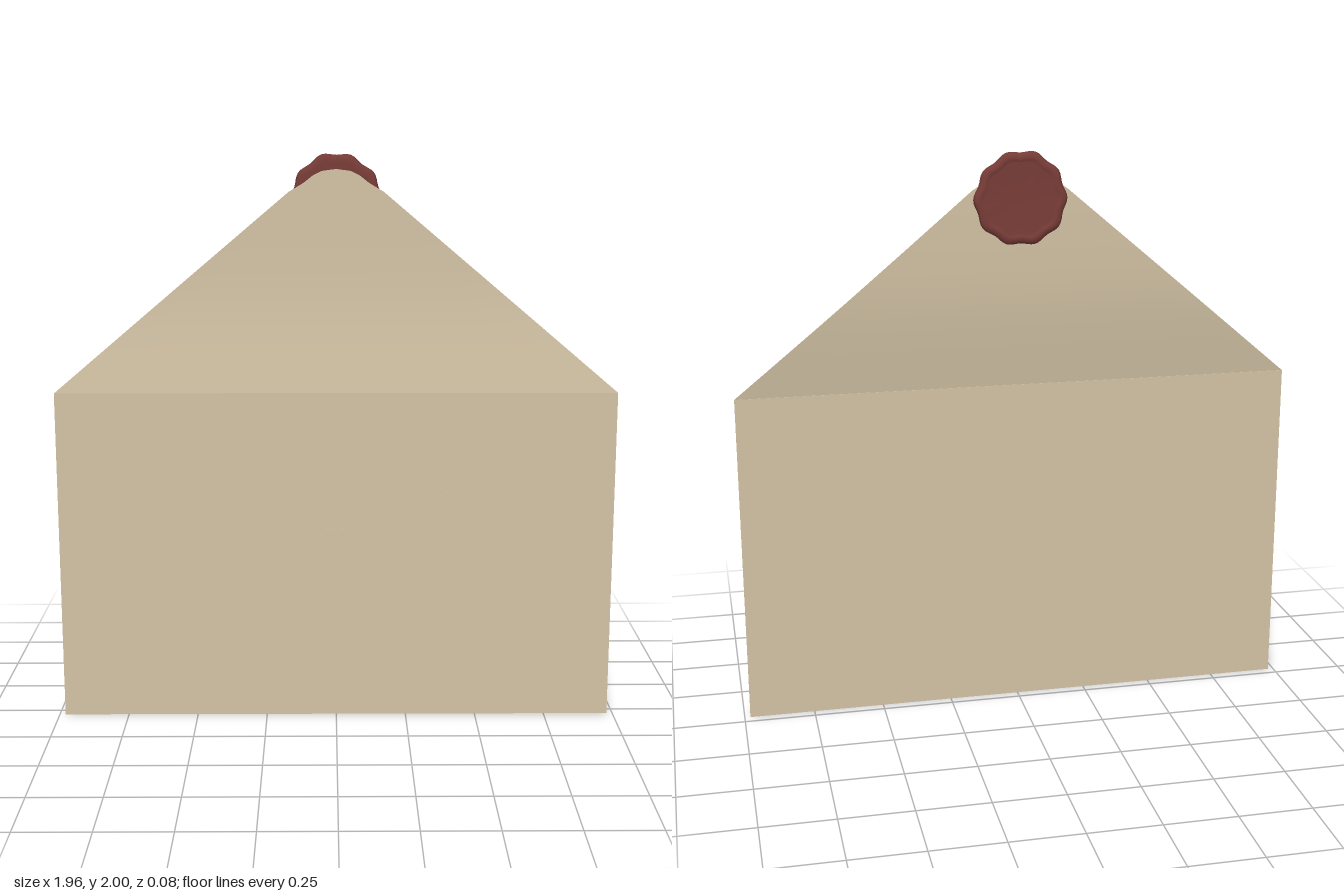
import * as THREE from 'three';

const W = 0.98, H = 1.18;

// Thin sheet of paper cut from an outline, its back at z
function sheet(name, points, z, depth, material) {
  const shape = new THREE.Shape(points.map(([x, y]) => new THREE.Vector2(x, y)));
  const geo = new THREE.ExtrudeGeometry(shape, { depth, bevelEnabled: false });
  const mesh = new THREE.Mesh(geo, material);
  mesh.name = name;
  mesh.position.z = z;
  return mesh;
}

// Open flap: rows of [y, half width, z], bending back from the fold
function flapGeometry() {
  const rows = [];
  const edge = (y) => W * (1 - (y - H) / 0.827);
  for (const [y, z] of [[H, 0.035], [1.27, 0.023], [1.36, 0.012], [1.44, 0.003], [1.52, -0.003],
    [1.6, -0.006], [1.7, -0.008], [1.8, -0.008], [1.87, -0.008]]) rows.push([y, edge(y), z]);
  // rounded tip
  for (const [y, w] of [[1.9, 0.112], [1.925, 0.08], [1.94, 0.05], [1.947, 0]]) rows.push([y, w, -0.008]);
  const cols = 8, pos = [], index = [];
  rows.forEach(([y, w, z], r) => {
    for (let c = 0; c <= cols; c++) {
      pos.push(w * (2 * c / cols - 1), y, z);
      if (r && c) {
        const a = (r - 1) * (cols + 1) + c - 1, b = a + cols + 1;
        index.push(a, a + 1, b + 1, a, b + 1, b);
      }
    }
  });
  const geo = new THREE.BufferGeometry();
  geo.setAttribute('position', new THREE.Float32BufferAttribute(pos, 3));
  geo.setIndex(index);
  geo.computeVertexNormals();
  return geo;
}

// Wax seal: a turned disc with a raised rim and a wavy outline
function sealGeometry() {
  const profile = [[0, -0.010], [0.13, -0.010], [0.15, -0.008], [0.157, 0], [0.15, 0.008],
    [0.138, 0.011], [0.128, 0.010], [0.122, 0.006], [0, 0.006]];
  const geo = new THREE.LatheGeometry(profile.map(([x, y]) => new THREE.Vector2(x, y)), 80);
  const p = geo.attributes.position;
  for (let i = 0; i < p.count; i++) {
    const x = p.getX(i), z = p.getZ(i), a = Math.atan2(z, x), r = Math.hypot(x, z);
    const s = 1 + (0.03 * Math.cos(10 * a) + 0.012 * Math.cos(3 * a + 1)) * Math.min(1, r / 0.12);
    p.setX(i, x * s);
    p.setZ(i, z * s);
  }
  geo.computeVertexNormals();
  return geo;
}

export function createModel() {
  const paper = new THREE.MeshStandardMaterial({ color: 0xd3c3a5, side: THREE.DoubleSide });
  paper.name = 'paper';
  const wax = new THREE.MeshStandardMaterial({ color: 0x793d38 });
  wax.name = 'sealingWax';

  const group = new THREE.Group();
  group.name = 'envelope';

  // Pocket: back panel, two side folds and the bottom fold over them
  group.add(sheet('backPanel', [[-W, 0], [W, 0], [W, H], [-W, H]], 0.033, 0.002, paper));
  for (const s of [-1, 1]) {
    group.add(sheet(s < 0 ? 'rightSideFold' : 'leftSideFold',
      [[s * W, 0], [s * W, H], [s * 0.06, 0.63], [s * 0.01, 0.58], [s * 0.06, 0.53]], 0.0355, 0.0015, paper));
  }
  group.add(sheet('bottomFold',
    [[-W, 0], [W, 0], [0.06, 0.675], [0.03, 0.692], [0, 0.698], [-0.03, 0.692], [-0.06, 0.675]],
    0.038, 0.002, paper));

  // Raised flap
  const flap = new THREE.Mesh(flapGeometry(), paper);
  flap.name = 'openFlap';
  group.add(flap);

  // Seal on the back of the flap tip, rim facing backwards
  const seal = new THREE.Mesh(sealGeometry(), wax);
  seal.name = 'waxSeal';
  seal.rotation.x = -Math.PI / 2 + 0.022;
  seal.position.set(0, 1.84, -0.0235);
  group.add(seal);

  return group;
}
